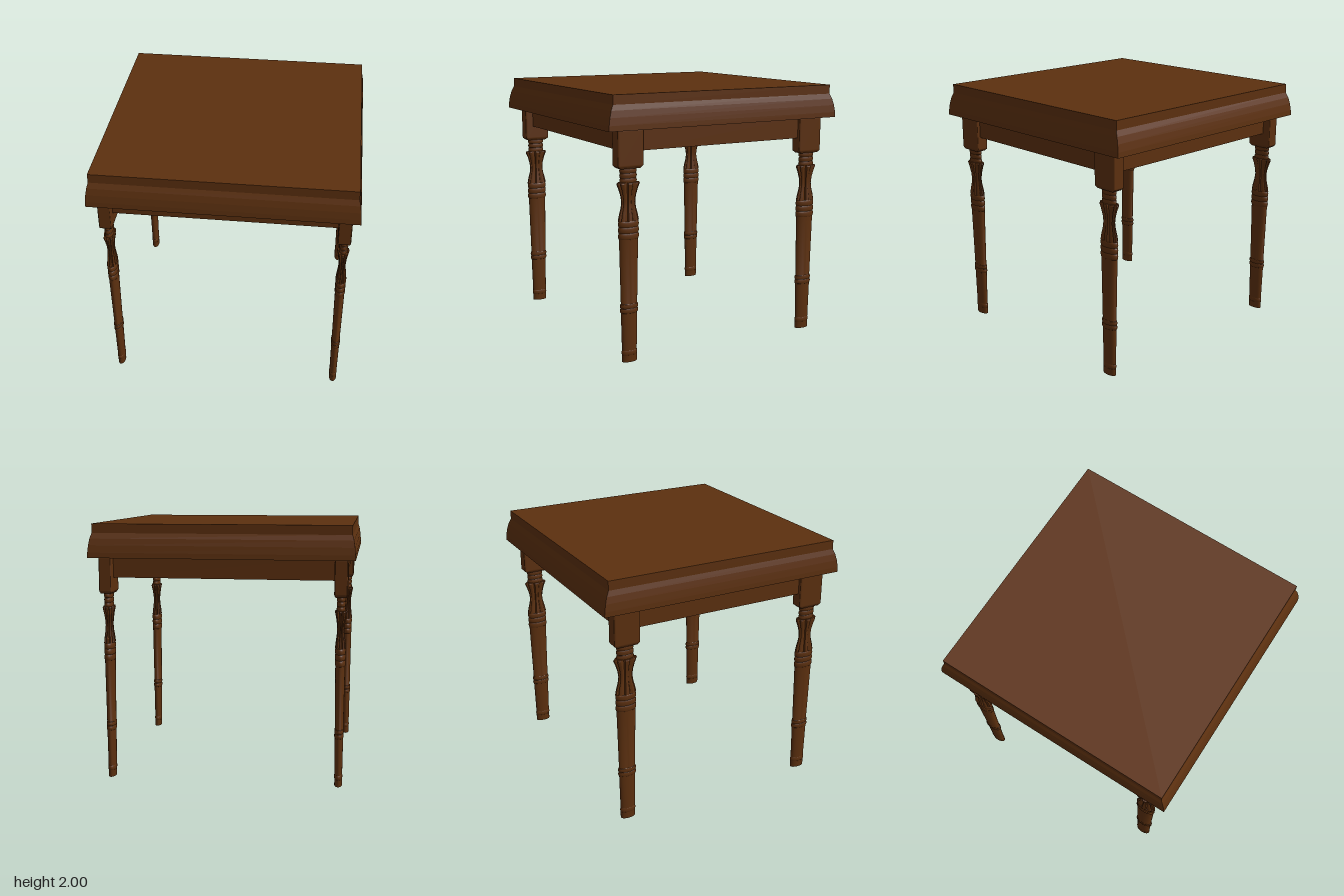
import * as THREE from 'three';
import { toCreasedNormals } from 'three/addons/utils/BufferGeometryUtils.js';
import { RoundedBoxGeometry } from 'three/addons/geometries/RoundedBoxGeometry.js';

const wood = new THREE.MeshStandardMaterial({ color: 0x5c300f });
wood.name = 'brown wood';

function part(name, geometry, parent, x = 0, y = 0, z = 0) {
  const mesh = new THREE.Mesh(geometry, wood);
  mesh.name = name;
  mesh.position.set(x, y, z);
  parent.add(mesh);
  return mesh;
}

// Closed rectangular stack from levels of [y, half width, half depth], bottom to top
function rectangularStack(levels) {
  const pos = [];
  const loops = levels.map(([y, w, d]) => [[-w, y, d], [w, y, d], [w, y, -d], [-w, y, -d]]);
  const quad = (a, b, c, d) => pos.push(...a, ...b, ...c, ...a, ...c, ...d);
  for (let i = 0; i + 1 < loops.length; i++) {
    for (let k = 0; k < 4; k++) {
      const n = (k + 1) % 4;
      quad(loops[i][k], loops[i][n], loops[i + 1][n], loops[i + 1][k]);
    }
  }
  quad(...loops.at(-1));
  quad(...[...loops[0]].reverse());
  const g = new THREE.BufferGeometry();
  g.setAttribute('position', new THREE.Float32BufferAttribute(pos, 3));
  g.computeVertexNormals();
  return g;
}

// Turned shape from [radius, y] pairs, bottom to top
function turned(points, segments = 32) {
  return new THREE.LatheGeometry(points.map(([r, y]) => new THREE.Vector2(r, y)), segments);
}

// Half-round beads stacked between two heights
function beads(y0, y1, count, core, outer) {
  const points = [];
  const h = (y1 - y0) / count;
  for (let i = 0; i < count; i++) {
    for (let k = 0; k <= 6; k++) {
      const a = (k / 6) * Math.PI;
      points.push([core + (outer - core) * Math.sin(a), y0 + h * (i + (1 - Math.cos(a)) / 2)]);
    }
  }
  return points;
}

// Waisted section with grooves cut between eight leaves
function flutedGeometry() {
  const points = [[0, 1.075], [0.085, 1.075], [0.076, 1.12], [0.062, 1.17], [0.056, 1.215],
    [0.062, 1.26], [0.077, 1.31], [0.094, 1.35], [0.088, 1.36], [0, 1.36]];
  const g = turned(points, 64);
  const p = g.attributes.position;
  for (let i = 0; i < p.count; i++) {
    const angle = Math.atan2(p.getZ(i), p.getX(i));
    const groove = Math.pow(Math.abs(Math.sin(angle * 4)), 6);
    const s = 1 - 0.28 * groove;
    p.setXYZ(i, p.getX(i) * s, p.getY(i), p.getZ(i) * s);
  }
  return toCreasedNormals(g, 0.6);
}

export function createModel() {
  const model = new THREE.Group();
  model.name = 'table';

  // Tabletop with a moulded edge
  part('tabletop', rectangularStack([
    [1.745, 1, 1], [1.785, 0.999, 0.997], [1.84, 0.994, 0.988], [1.89, 0.986, 0.974],
    [1.93, 0.975, 0.955], [2, 0.975, 0.955]]), model);

  // Apron rails
  for (const s of [-1, 1]) {
    part('endApron', new THREE.BoxGeometry(1.72, 0.165, 0.08), model, 0, 1.6675, s * 0.8);
    part('sideApron', new THREE.BoxGeometry(0.04, 0.165, 1.5), model, s * 0.895, 1.6675, 0);
  }

  // Turned legs, narrower across than deep
  const shaft = toCreasedNormals(turned([
    [0, 0], [0.06, 0], [0.061, 0.055],
    ...beads(0.055, 0.09, 1, 0.059, 0.064),
    [0.06, 0.09], [0.066, 0.38],
    ...beads(0.38, 0.45, 2, 0.066, 0.074),
    [0.066, 0.45], [0.076, 0.94],
    ...beads(0.94, 1.075, 3, 0.075, 0.083),
    [0, 1.075]]), 0.6);
  const neck = toCreasedNormals(turned([
    ...beads(1.355, 1.465, 3, 0.06, 0.069), [0.068, 1.48]]), 0.6);
  const fluted = flutedGeometry();
  const block = new RoundedBoxGeometry(0.206, 0.28, 0.206, 3, 0.018);
  const blockFoot = rectangularStack([[1.463, 0.08, 0.08], [1.478, 0.095, 0.095]]);

  for (const x of [-1, 1]) {
    for (const z of [-1, 1]) {
      const leg = new THREE.Group();
      leg.name = `${z > 0 ? 'front' : 'back'}${x > 0 ? 'Left' : 'Right'}Leg`;
      leg.position.set(x * 0.895, 0, z * 0.8);
      leg.scale.x = 0.49;
      part('legShaft', shaft, leg);
      part('legFlutes', fluted, leg);
      part('legNeck', neck, leg);
      part('legBlockFoot', blockFoot, leg);
      part('legBlock', block, leg, 0, 1.612, 0);
      model.add(leg);
    }
  }
  return model;
}
